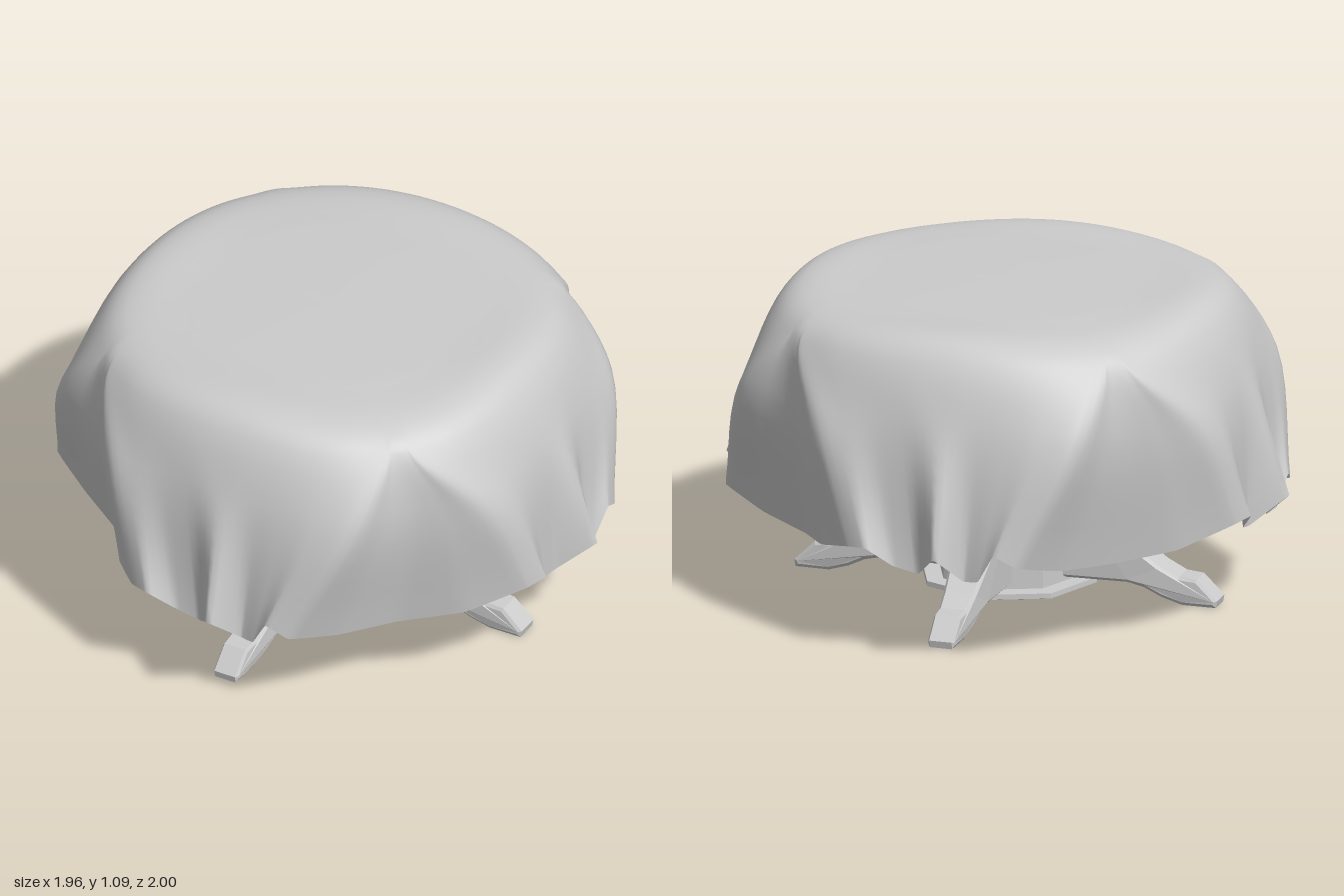
import * as THREE from 'three';

const material = new THREE.MeshStandardMaterial({ color: 0xcccccc, flatShading: true });
const clothMaterial = new THREE.MeshStandardMaterial({ color: 0xcccccc, side: THREE.DoubleSide });

// Hem of one quarter of the cloth as [x, y, z]: nine points over a hanging fold, three over a corner
const HEM = [
  [-0.28, 0.39, 0.91], [-0.20, 0.40, 0.945], [-0.12, 0.33, 0.89], [-0.03, 0.31, 0.885],
  [0.06, 0.40, 0.998], [0.13, 0.30, 0.89], [0.19, 0.31, 0.91], [0.25, 0.41, 0.93],
  [0.33, 0.37, 0.91], [0.43, 0.32, 0.74], [0.55, 0.30, 0.55], [0.74, 0.33, 0.43],
];
const RIPPLE = [0, 0.005, -0.005, -0.004, 0.008, -0.005, -0.004, 0.003, 0];
const UP = new THREE.Vector3(0, 1, 0);
const DEG = Math.PI / 180;
const polar = (deg, r, y) => new THREE.Vector3(r * Math.sin(deg * DEG), y, r * Math.cos(deg * DEG));

// Angle of a column when the fold spans from..to degrees and the corner takes the rest
function columnAngle(j, from, to) {
  return j <= 8 ? from + (j / 8) * (to - from) : to + ((j - 8) / 4) * (90 + from - to);
}

// Control rings of the cloth, from the flat top out to the hem
function clothRing(level) {
  const points = [];
  for (let q = 0; q < 4; q++) {
    for (let j = 0; j < 12; j++) {
      let p;
      if (level < 3) {
        // table top and its rim, drawn out and down a little at the four corners
        const a = columnAngle(j, -41, 41);
        const corner = Math.sin(2 * a * DEG) ** 2;
        p = [
          polar(a, 0.45, 1.092),
          polar(a, 0.685 + 0.03 * corner, 1.083 - 0.018 * corner),
          polar(a, 0.765 + 0.04 * corner, 1.02 - 0.015 * corner),
        ][level];
      } else if (level === 3) {
        // halfway down: ridges stand out, corners stay drawn in
        const a = columnAngle(j, -28, 33);
        p = j <= 8
          ? polar(a, 0.86 + 0.065 * (a / 31) ** 2 + RIPPLE[j], 0.78)
          : polar(a, j === 10 ? 0.845 : 0.87, 0.75);
      } else {
        p = new THREE.Vector3(...HEM[j]);
        if (q % 2) p.z *= 0.983; // side folds hang slightly closer in
      }
      points.push(p.applyAxisAngle(UP, q * Math.PI / 2));
    }
  }
  return new THREE.CatmullRomCurve3(points, true, 'catmullrom', level === 4 ? 0.12 : 0.5);
}

// Draped cloth: smooth columns run through the control rings
function makeCloth() {
  const rings = [0, 1, 2, 3, 4].map(clothRing);
  const cols = 192, rows = 24;
  const positions = [0, 1.093, 0], index = [];
  for (let c = 0; c < cols; c++) {
    const column = new THREE.CatmullRomCurve3(rings.map(r => r.getPoint(c / cols)), false, 'centripetal');
    for (let r = 0; r <= rows; r++) positions.push(...column.getPoint(r / rows).toArray());
  }
  const id = (c, r) => 1 + (c % cols) * (rows + 1) + r;
  for (let c = 0; c < cols; c++) {
    index.push(0, id(c, 0), id(c + 1, 0));
    for (let r = 0; r < rows; r++) {
      index.push(id(c, r), id(c, r + 1), id(c + 1, r + 1));
      index.push(id(c, r), id(c + 1, r + 1), id(c + 1, r));
    }
  }
  const geometry = new THREE.BufferGeometry();
  geometry.setAttribute('position', new THREE.Float32BufferAttribute(positions, 3));
  geometry.setIndex(index);
  geometry.computeVertexNormals();
  return geometry;
}

// Foot: side outline extruded, then tapered towards its tip
function makeLeg() {
  const outline = [
    [0.2, 0.08], [0.44, 0.08], [0.5, 0.065], [0.56, 0.035], [0.63, 0.012], [0.738, 0.012], [0.74, 0.022],
    [0.675, 0.085], [0.615, 0.09], [0.54, 0.125], [0.38, 0.245], [0.32, 0.268], [0.2, 0.268],
  ];
  const shape = new THREE.Shape(outline.map(([x, y]) => new THREE.Vector2(x, y)));
  const geometry = new THREE.ExtrudeGeometry(shape, {
    depth: 0.14, bevelEnabled: true, bevelSize: 0.011, bevelThickness: 0.012, bevelSegments: 1,
  });
  geometry.translate(0, 0, -0.07);
  const pos = geometry.attributes.position;
  for (let i = 0; i < pos.count; i++) {
    const t = THREE.MathUtils.clamp((pos.getX(i) - 0.3) / 0.35, 0, 1);
    pos.setZ(i, pos.getZ(i) * (1 - 0.43 * t));
  }
  geometry.computeVertexNormals();
  return geometry;
}

export function createModel() {
  const model = new THREE.Group();
  const table = new THREE.Group();
  table.name = 'table';
  table.position.z = 0.015;
  model.add(table);
  const add = (parent, name, geometry, mat = material) => {
    const mesh = new THREE.Mesh(geometry, mat);
    mesh.name = name;
    parent.add(mesh);
    return mesh;
  };

  add(model, 'tablecloth', makeCloth(), clothMaterial);
  add(table, 'tableTop', new THREE.CylinderGeometry(0.69, 0.69, 0.08, 8)).position.y = 1.01;

  // eight-sided turned pedestal
  const profile = [
    [0.25, 0.05], [0.25, 0.47], [0.22, 0.53], [0.26, 0.59], [0.27, 0.67], [0.24, 0.75], [0.2, 0.82], [0.2, 0.98],
  ];
  add(table, 'pedestal', new THREE.LatheGeometry(profile.map(([x, y]) => new THREE.Vector2(x, y)), 8));
  add(table, 'basePlate', new THREE.CylinderGeometry(0.312, 0.312, 0.018, 8)).position.y = 0.047;
  add(table, 'basePlateUnderside', new THREE.CylinderGeometry(0.305, 0.29, 0.008, 8)).position.y = 0.035;

  const legGeometry = makeLeg();
  ['leftLeg', 'backLeg', 'rightLeg', 'frontLeg'].forEach((name, i) => {
    add(table, name, legGeometry).rotation.y = i * Math.PI / 2;
  });
  return model;
}
